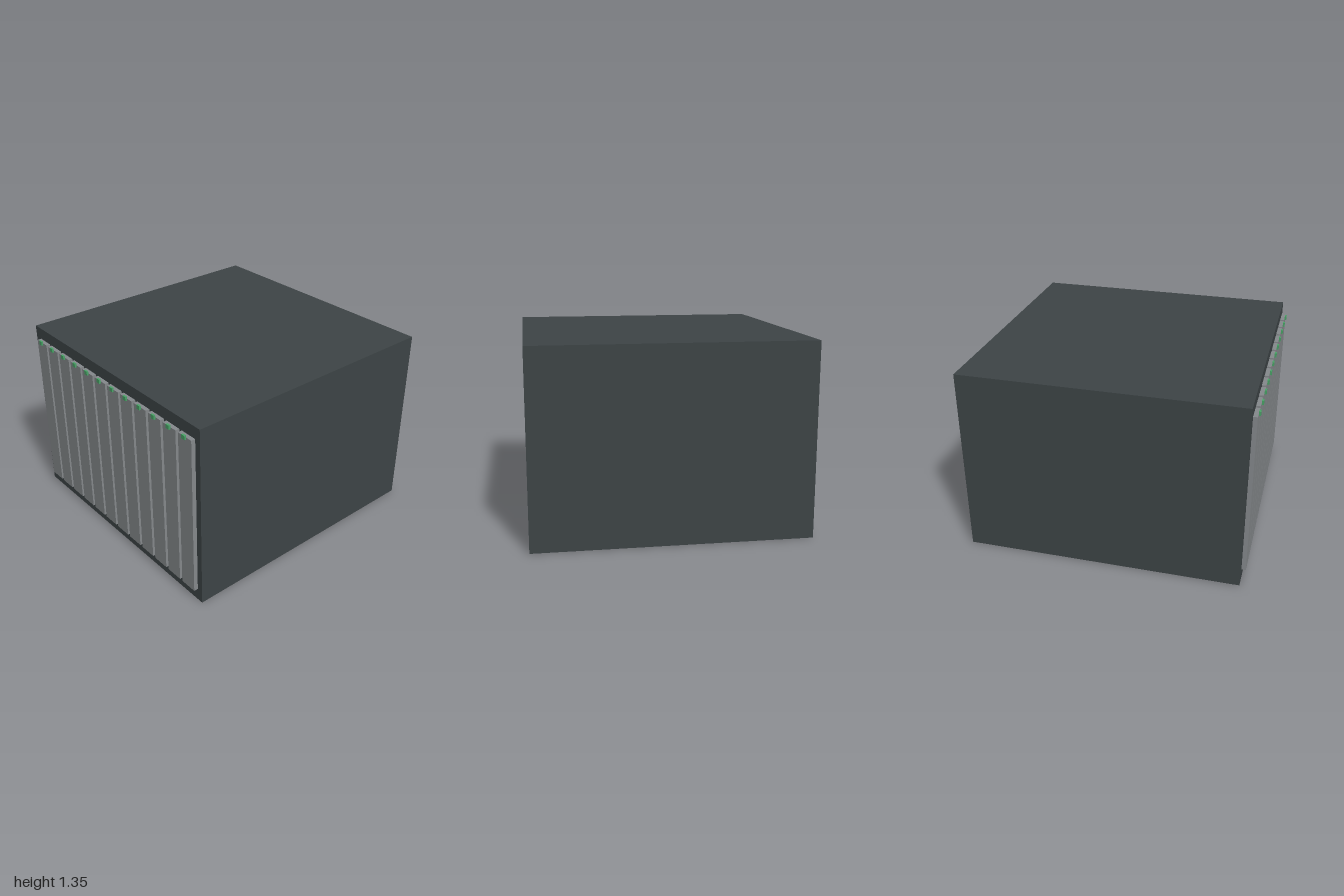
import * as THREE from 'three';

const paint = (color) => new THREE.MeshStandardMaterial({ color });

// Box given by its minimum and maximum corners
function box(name, material, [x0, y0, z0], [x1, y1, z1]) {
  const mesh = new THREE.Mesh(new THREE.BoxGeometry(x1 - x0, y1 - y0, z1 - z0), material);
  mesh.position.set((x0 + x1) / 2, (y0 + y1) / 2, (z0 + z1) / 2);
  mesh.name = name;
  return mesh;
}

export function createModel() {
  const model = new THREE.Group();
  model.name = 'driveEnclosure';
  const caseMaterial = paint(0x3d4446);
  const trayMaterial = paint(0x85898c);
  const lightMaterial = paint(0x4aa568);

  // Main housing
  const halfWidth = 0.957, front = 0.957, trayFront = 0.987;
  model.add(box('housing', caseMaterial, [-halfWidth, 0, -1], [halfWidth, 1.35, front]));

  // Row of upright drive trays, each with a status light on its top edge
  const count = 12, firstX = -0.832, pitch = 0.1528;
  for (let i = 0; i < count; i++) {
    const x = firstX + i * pitch;
    const bay = new THREE.Group();
    bay.name = `driveBay${i + 1}`;
    bay.add(
      box('tray', trayMaterial, [x - 0.064, 0.09, front], [x + 0.064, 1.265, trayFront]),
      box('statusLight', lightMaterial, [x - 0.015, 1.25, trayFront], [x + 0.015, 1.28, 1]),
    );
    model.add(bay);
  }
  return model;
}
